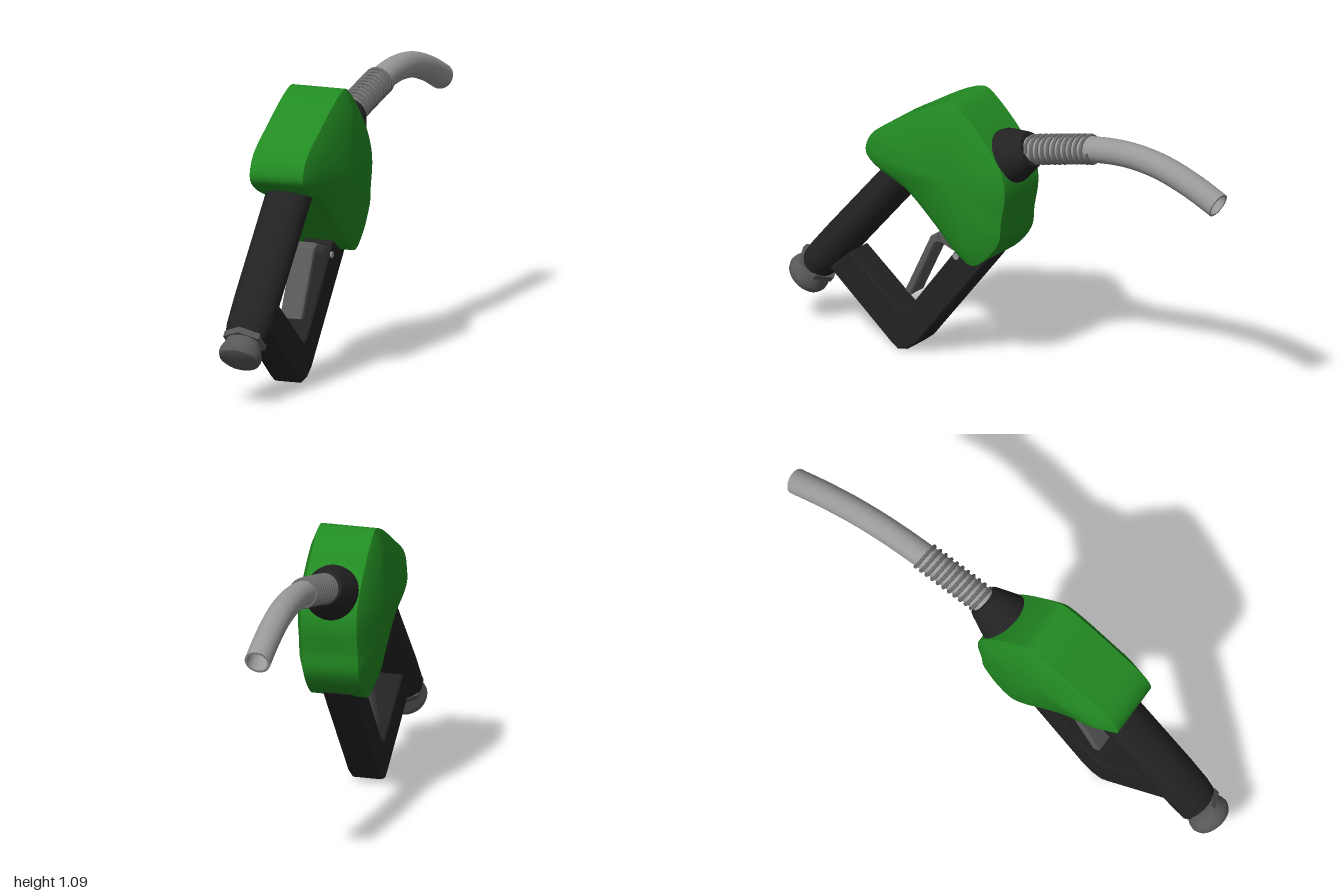
import * as THREE from 'three';
import { toCreasedNormals } from 'three/addons/utils/BufferGeometryUtils.js';

const mat = (name, color, side = THREE.FrontSide) => {
  const m = new THREE.MeshStandardMaterial({ color, side });
  m.name = name;
  return m;
};

export function createModel() {
  const group = new THREE.Group();
  const green = mat('green', 0x228b22);
  const black = mat('black', 0x222222);
  const darkGrey = mat('darkGrey', 0x595959);
  const steel = mat('steel', 0x999999, THREE.DoubleSide);
  const springGrey = mat('springGrey', 0x6c6c6c);

  const add = (name, geo, material) => {
    const mesh = new THREE.Mesh(geo, material);
    mesh.name = name;
    group.add(mesh);
    return mesh;
  };

  // Side profile in (z, y), extruded evenly across x
  const plate = (points, half, bevel) => {
    const shape = new THREE.Shape(points.map(([z, y]) => new THREE.Vector2(z, y)));
    const depth = 2 * (half - bevel);
    const geo = new THREE.ExtrudeGeometry(shape, {
      depth, bevelEnabled: true, bevelThickness: bevel, bevelSize: bevel,
      bevelOffset: -bevel, bevelSegments: 1,
    });
    geo.translate(0, 0, -depth / 2).rotateY(-Math.PI / 2);
    return toCreasedNormals(geo, 0.6);
  };

  // Place a y-axis geometry at (z, y), pointing along (dz, dy)
  const aim = (mesh, [z, y], [dz, dy]) => {
    mesh.position.set(0, y, z);
    mesh.quaternion.setFromUnitVectors(
      new THREE.Vector3(0, 1, 0), new THREE.Vector3(0, dy, dz).normalize());
    return mesh;
  };
  const lathe = (points, sides = 40) => toCreasedNormals(
    new THREE.LatheGeometry(points.map(([r, h]) => new THREE.Vector2(r, h)), sides), 0.6);

  // Body: rounded side profile with chamfered flanks
  const outline = new THREE.CatmullRomCurve3([
    [0.185, 1.085], [0.25, 1.07], [0.42, 0.975], [0.565, 0.875], [0.59, 0.8],
    [0.55, 0.755], [0.40, 0.685], [0.275, 0.58], [0.17, 0.48], [0.10, 0.445],
    [0.035, 0.485], [-0.027, 0.57], [-0.037, 0.65], [-0.055, 0.755],
    [-0.045, 0.835], [0.01, 0.925], [0.125, 1.045],
  ].map(([z, y]) => new THREE.Vector3(0, y, z)), true);
  const n = 72, mid = [0.2, 0.77];
  const loop = outline.getPoints(n).slice(0, n);
  const pos = [], index = [];
  for (const [x, s] of [[-0.138, 0.79], [-0.11, 1], [0.11, 1], [0.138, 0.79]]) {
    for (const p of loop) {
      pos.push(x, mid[1] + (p.y - mid[1]) * s, mid[0] + (p.z - mid[0]) * s);
    }
  }
  pos.push(-0.138, mid[1], mid[0], 0.138, mid[1], mid[0]);
  for (let i = 0; i < n; i++) {
    const j = (i + 1) % n;
    for (let r = 0; r < 3; r++) {
      const a = r * n + i, b = r * n + j;
      index.push(a, b, a + n, b, b + n, a + n);
    }
    index.push(j, i, 4 * n, 3 * n + i, 3 * n + j, 4 * n + 1);
  }
  const bodyGeo = new THREE.BufferGeometry();
  bodyGeo.setAttribute('position', new THREE.Float32BufferAttribute(pos, 3));
  bodyGeo.setIndex(index);
  add('body', toCreasedNormals(bodyGeo, 0.75), green);

  // Oval grip running down to the front
  const down = [0.655, -0.756];
  const along = (t) => [0.366 + down[0] * t, 0.84 + down[1] * t];
  const gripGeo = lathe([[0, 0], [1, 0], [1, 0.62], [0.97, 0.74], [0.9, 0.79], [0, 0.8]]);
  gripGeo.scale(0.09, 1, 0.073);
  aim(add('grip', gripGeo, black), along(0), down);

  // Hose end: hexagonal nut and rounded knob
  const nut = new THREE.CylinderGeometry(0.084, 0.084, 0.025, 6);
  aim(add('hexNut', toCreasedNormals(nut, 0.5), darkGrey), along(0.797), down);
  aim(add('hoseKnob', lathe([[0, 0], [0.066, 0], [0.07, 0.025], [0.081, 0.05],
    [0.083, 0.068], [0.077, 0.083], [0.062, 0.092], [0, 0.095]]), darkGrey), along(0.8), down);

  // Hand guard
  add('guard', plate([
    [0.08, 0.55], [0.06, 0.46], [0.39, 0.045], [0.435, 0.01], [0.48, 0], [0.515, 0.025],
    [0.795, 0.26], [0.70, 0.345], [0.465, 0.155], [0.435, 0.17], [0.195, 0.485], [0.15, 0.55],
  ], 0.06, 0.006), black);

  // Trigger lever with its arm and pivot pin
  add('triggerPaddle', plate([
    [0.43, 0.228], [0.457, 0.24], [0.337, 0.49], [0.305, 0.506], [0.297, 0.472], [0.315, 0.466],
  ], 0.045, 0.005), darkGrey);
  add('triggerArm', plate([
    [0.325, 0.494], [0.305, 0.507], [0.19, 0.468], [0.195, 0.435], [0.30, 0.47],
  ], 0.035, 0.004), darkGrey);
  const pin = add('pivotPin', new THREE.CylinderGeometry(0.013, 0.013, 0.13, 16), steel);
  pin.rotation.z = Math.PI / 2;
  pin.position.set(0, 0.443, 0.206);

  // Cone collar at the root of the spout
  aim(add('spoutCollar', lathe([[0, -0.05], [0.107, -0.05], [0.106, 0.02], [0.073, 0.105],
    [0.066, 0.118], [0, 0.118]]), black), [0, 0.88], [-0.89, 0.45]);

  // Curved hollow spout
  const path = new THREE.CatmullRomCurve3([
    [-0.06, 0.92], [-0.25, 0.967], [-0.40, 1.0], [-0.55, 1.014],
    [-0.70, 1.0], [-0.85, 0.955], [-0.968, 0.904],
  ].map(([z, y]) => new THREE.Vector3(0, y, z)));
  add('spout', new THREE.TubeGeometry(path, 60, 0.05, 32), steel);
  add('spoutBore', new THREE.TubeGeometry(path, 60, 0.041, 32), steel);
  const rim = add('spoutRim', new THREE.RingGeometry(0.041, 0.05, 32), steel);
  rim.position.copy(path.getPointAt(1));
  rim.quaternion.setFromUnitVectors(new THREE.Vector3(0, 0, 1), path.getTangentAt(1));

  // Coil spring wound round the first part of the spout
  const turns = 11, coil = [];
  for (let i = 0; i <= turns * 16; i++) {
    const a = (i / 16) * Math.PI * 2;
    const u = 0.055 + 0.31 * (i / (turns * 16));
    const t = path.getTangentAt(u);
    const side = new THREE.Vector3(1, 0, 0);
    const up = new THREE.Vector3().crossVectors(side, t);
    coil.push(path.getPointAt(u)
      .addScaledVector(side, Math.cos(a) * 0.053)
      .addScaledVector(up, Math.sin(a) * 0.053));
  }
  add('spring', new THREE.TubeGeometry(new THREE.CatmullRomCurve3(coil), turns * 28, 0.007, 8), springGrey);

  return group;
}
